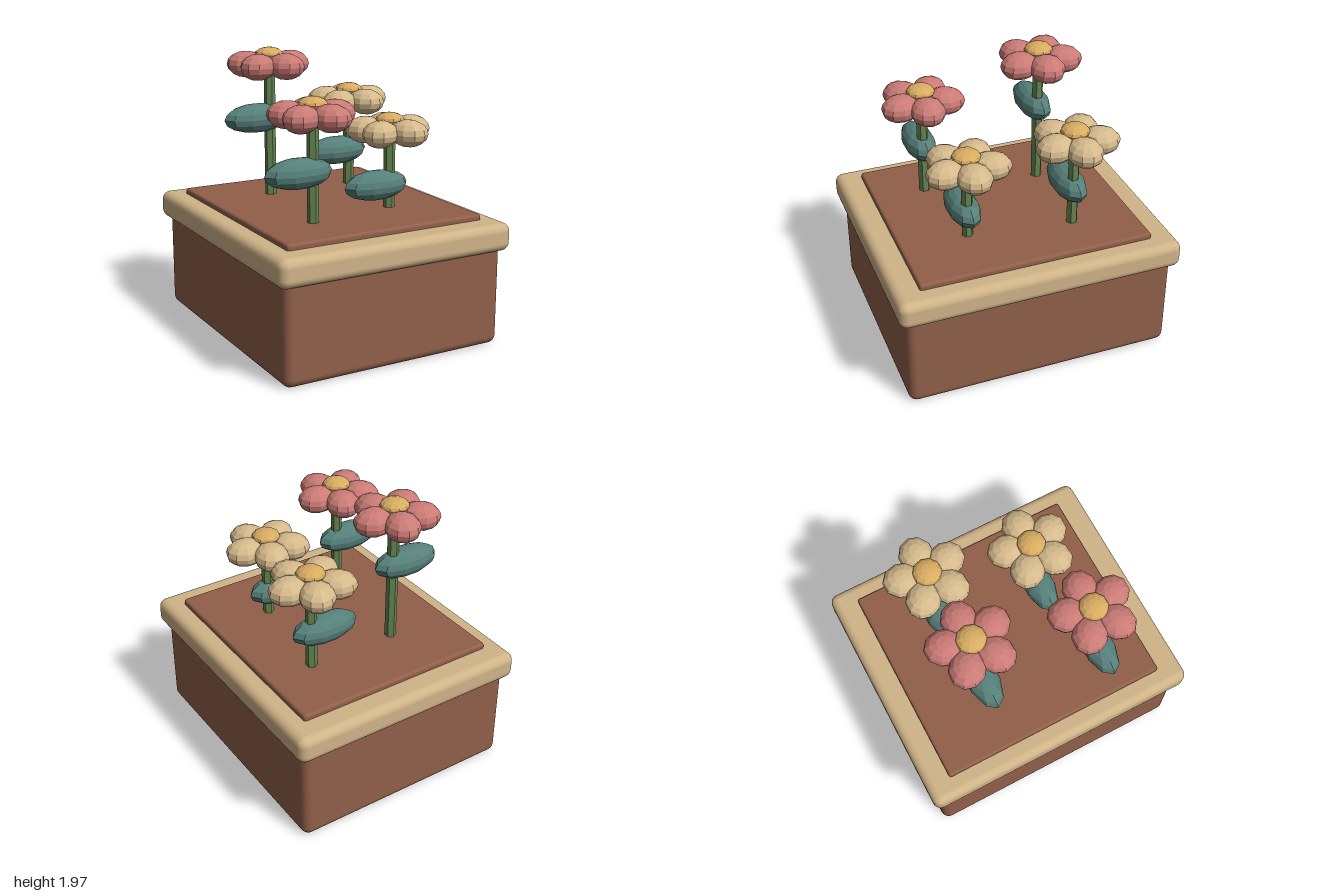
import * as THREE from 'three';
import { RoundedBoxGeometry } from 'three/addons/geometries/RoundedBoxGeometry.js';

const mat = (name, color, flatShading = true) => {
  const m = new THREE.MeshStandardMaterial({ color, flatShading });
  m.name = name;
  return m;
};

export function createModel() {
  const terracotta = mat('terracotta', 0x91604a, false);
  const sand = mat('sand', 0xd0b488, false);
  const pink = mat('pink', 0xcb7b76);
  const cream = mat('cream', 0xd6ba8c);
  const gold = mat('gold', 0xd9ac62);
  const stemGreen = mat('stem green', 0x64854f);
  const leafGreen = mat('leaf green', 0x56807a);

  const model = new THREE.Group();
  model.name = 'flowerPlanter';

  // Rounded slab spanning y0 to y1
  const slab = (name, w, d, y0, y1, r, material) => {
    const m = new THREE.Mesh(new RoundedBoxGeometry(w, y1 - y0, d, 3, r), material);
    m.name = name;
    m.position.y = (y0 + y1) / 2;
    model.add(m);
  };
  slab('planterBox', 1.64, 1.9, 0, 0.75, 0.06, terracotta);
  slab('rim', 1.74, 2, 0.67, 0.865, 0.06, sand);
  slab('soil', 1.47, 1.65, 0.8, 0.905, 0.02, terracotta);

  // Low-poly ellipsoid shared by petals, centres and leaves
  const ball = new THREE.SphereGeometry(1, 10, 8);
  const ellipsoid = (parent, name, material, pos, scale) => {
    const m = new THREE.Mesh(ball, material);
    m.name = name;
    m.position.set(...pos);
    m.scale.set(...scale);
    parent.add(m);
    return m;
  };

  // Flower: its head sits at height y above the ground
  const addFlower = (x, z, y, petalMaterial) => {
    const flower = new THREE.Group();
    flower.name = 'flower';
    flower.position.set(x, 0, z);

    const stem = new THREE.Mesh(new THREE.CylinderGeometry(0.04, 0.04, y - 0.86, 6), stemGreen);
    stem.name = 'stem';
    stem.position.y = (y + 0.86) / 2;
    flower.add(stem);

    ellipsoid(flower, 'leaf', leafGreen, [-0.105, y - 0.373, 0], [0.248, 0.104, 0.11]);
    for (let i = 0; i < 5; i++) {
      const a = (i / 5) * Math.PI * 2;
      const petal = ellipsoid(flower, 'petal', petalMaterial,
        [Math.cos(a) * 0.165, y, Math.sin(a) * 0.165], [0.14, 0.0925, 0.122]);
      petal.rotation.y = -a;
    }
    ellipsoid(flower, 'flowerCentre', gold, [0, y + 0.072, 0], [0.1, 0.052, 0.1]);
    model.add(flower);
  };
  addFlower(-0.255, -0.377, 1.842, pink);
  addFlower(0.395, -0.377, 1.542, cream);
  addFlower(-0.355, 0.45, 1.62, pink);
  addFlower(0.295, 0.35, 1.443, cream);

  return model;
}
